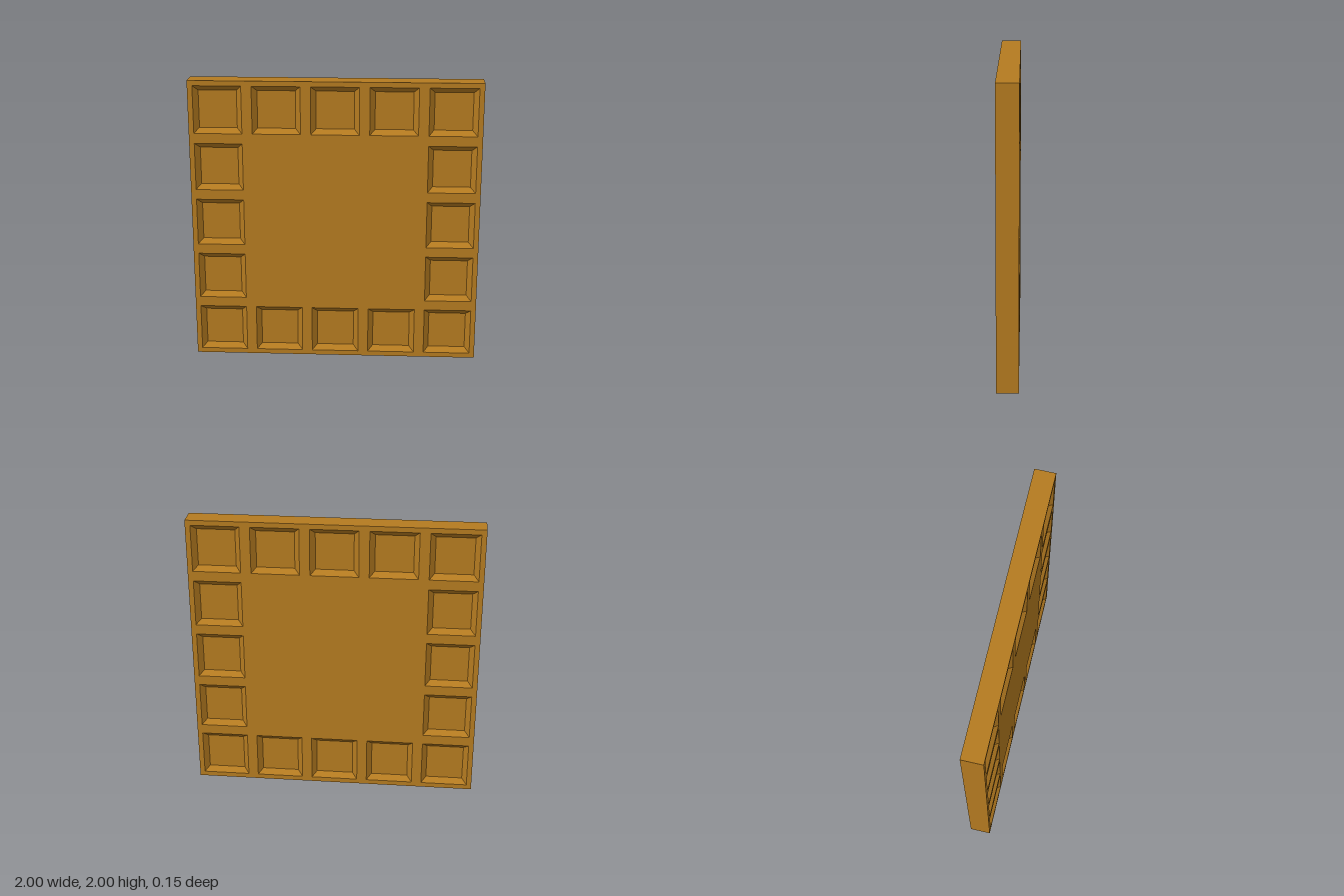
import * as THREE from 'three';

const THICKNESS = 0.146, DEPTH = 0.035;
const OUTER = 0.165, INNER = 0.13; // half widths of a coffer at its mouth and floor
const PITCH = 0.4;

export function createModel() {
  const model = new THREE.Group();
  model.name = 'cofferedPanel';
  const material = new THREE.MeshStandardMaterial({ color: 0xb57b20, flatShading: true });

  const add = (parent, name, geometry) => {
    const mesh = new THREE.Mesh(geometry, material);
    mesh.name = name;
    parent.add(mesh);
    return mesh;
  };

  // Coffer centres: the border cells of a 5 x 5 grid
  const centres = [];
  for (let i = -2; i <= 2; i++)
    for (let j = -2; j <= 2; j++)
      if (Math.max(Math.abs(i), Math.abs(j)) === 2) centres.push([i * PITCH, j * PITCH]);

  const square = (Type, x, y, h) => new Type([[-h, -h], [h, -h], [h, h], [-h, h]]
    .map(([u, v]) => new THREE.Vector2(x + u, y + v)));

  // Flat face with square openings
  const face = square(THREE.Shape, 0, 0, 1);
  face.holes = centres.map(([x, y]) => square(THREE.Path, x, y, OUTER));
  const faceGeometry = new THREE.ShapeGeometry(face);

  // Four-sided sunken tray: sloping walls and flat floor, opening toward +z
  const trayGeometry = new THREE.LatheGeometry(
    [[OUTER, 0], [INNER, -DEPTH], [0, -DEPTH]].map(([r, y]) => new THREE.Vector2(r * Math.SQRT2, y)),
    4, Math.PI / 4).rotateX(Math.PI / 2);

  // Outer edges of the slab
  add(model, 'panelEdges', new THREE.CylinderGeometry(Math.SQRT2, Math.SQRT2, THICKNESS, 4, 1, true, Math.PI / 4)
    .rotateX(Math.PI / 2)).position.y = 1;

  // Matching front and back, each with its face and coffers
  for (const [name, turn] of [['front', 0], ['back', Math.PI]]) {
    const side = new THREE.Group();
    side.name = name + 'Side';
    side.rotation.y = turn;
    side.position.set(0, 1, Math.cos(turn) * THICKNESS / 2);
    add(side, name + 'Face', faceGeometry);
    for (const [x, y] of centres) add(side, name + 'Coffer', trayGeometry).position.set(x, y, 0);
    model.add(side);
  }
  return model;
}
